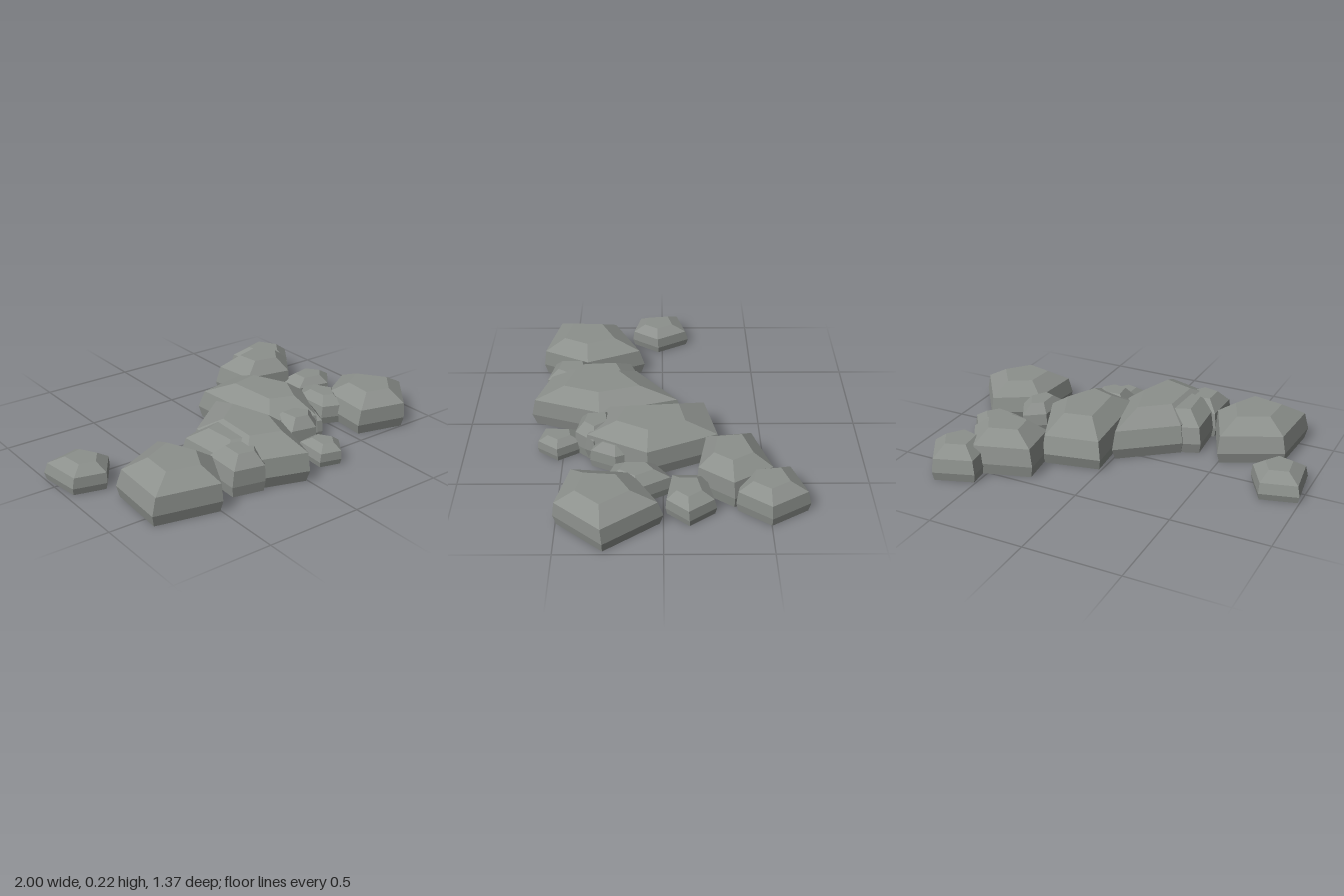
import * as THREE from 'three';

const stoneGrey = new THREE.MeshStandardMaterial({ color: 0x8c908c });
stoneGrey.name = 'stone grey';

// Every stone is the same five-cornered pebble fitted to its own footprint:
// name, [left x, right x, back z, front z], height, and three shares of the footprint:
// peak (x of the back and front corners), lean (slant of the left edge), drop (z of the back left corner)
const STONES = [
  ['leftSmallStone', [-1, -0.71, -0.15, 0.17], 0.125, 0.66, -0.1, 0.16],
  ['leftLargeStone', [-0.83, -0.37, 0.1, 0.66], 0.205, 0.72, 0.04, 0.27],
  ['middleLargeStone', [-0.32, 0.12, -0.11, 0.68], 0.215, 0.72, 0.05, 0.29],
  ['middleInnerStone', [-0.385, 0, 0.07, 0.55], 0.2, 0.6, -0.06, 0.18],
  ['middleFrontStone', [-0.39, -0.14, 0.34, 0.62], 0.19, 0.66, 0.02, 0.1],
  ['centreLargeStone', [0, 0.46, -0.3, 0.39], 0.215, 0.65, -0.09, 0.09],
  ['centreFrontStone', [0.08, 0.33, 0.22, 0.44], 0.18, 0.65, -0.08, 0.05],
  ['centreSideStone', [0.24, 0.42, 0.08, 0.36], 0.14, 0.66, 0.05, 0.18],
  ['frontSmallStone', [0.13, 0.32, 0.4, 0.63], 0.1, 0.6, 0.05, 0.09],
  ['backLargeStone', [0.27, 0.69, -0.54, -0.16], 0.215, 0.7, -0.07, 0.24],
  ['backEndStone', [0.5, 0.82, -0.69, -0.34], 0.165, 0.64, -0.09, 0.2],
  ['rightBackStone', [0.53, 0.82, -0.25, -0.01], 0.125, 0.67, 0, 0.17],
  ['rightInnerStone', [0.46, 0.67, -0.05, 0.28], 0.14, 0.53, 0, 0.24],
  ['rightLargeStone', [0.53, 0.995, 0, 0.51], 0.187, 0.57, 0.06, 0.27],
];

// Levels from the ground up: share of the height, scale about the centre, drift towards +x and +z
const LEVELS = [[0, 0.94, 0], [0.28, 1, 0], [0.7, 0.93, 0.015], [1, 0.49, 0.03]];

// Widest outline of a stone, clockwise from the back left corner
function stoneOutline([x0, x1, z0, z1], peak, lean, drop) {
  const corners = [
    [Math.max(lean, 0), drop],
    [peak, 0],
    [1, 0.54],
    [peak, 1],
    [Math.max(-lean, 0), 0.87],
  ];
  return corners.map(([u, v]) => [x0 + u * (x1 - x0), z0 + v * (z1 - z0)]);
}

function makeStone([name, footprint, height, peak, lean, drop]) {
  const outline = stoneOutline(footprint, peak, lean, drop);
  const n = outline.length;
  const cx = outline.reduce((sum, p) => sum + p[0], 0) / n;
  const cz = outline.reduce((sum, p) => sum + p[1], 0) / n;
  const width = footprint[1] - footprint[0];
  const rings = LEVELS.map(([h, s, d]) => outline.map(([x, z]) =>
    [cx + (x - cx) * s + d * width, h * height, cz + (z - cz) * s + d * width]));
  const positions = [];
  const tri = (a, b, c) => positions.push(...a, ...b, ...c);

  // Sloping sides between neighbouring levels
  for (let k = 0; k < rings.length - 1; k++) {
    const lo = rings[k], hi = rings[k + 1];
    for (let i = 0; i < n; i++) {
      const j = (i + 1) % n;
      tri(lo[j], lo[i], hi[i]);
      tri(lo[j], hi[i], hi[j]);
    }
  }
  // Flat top and underside
  const base = rings[0], top = rings[rings.length - 1];
  for (let i = 1; i < n - 1; i++) {
    tri(top[0], top[i + 1], top[i]);
    tri(base[0], base[i], base[i + 1]);
  }

  const geometry = new THREE.BufferGeometry();
  geometry.setAttribute('position', new THREE.Float32BufferAttribute(positions, 3));
  geometry.computeVertexNormals(); // unshared corners give flat facets
  const mesh = new THREE.Mesh(geometry, stoneGrey);
  mesh.name = name;
  return mesh;
}

export function createModel() {
  const group = new THREE.Group();
  group.name = 'stoneCluster';
  for (const stone of STONES) group.add(makeStone(stone));
  return group;
}
